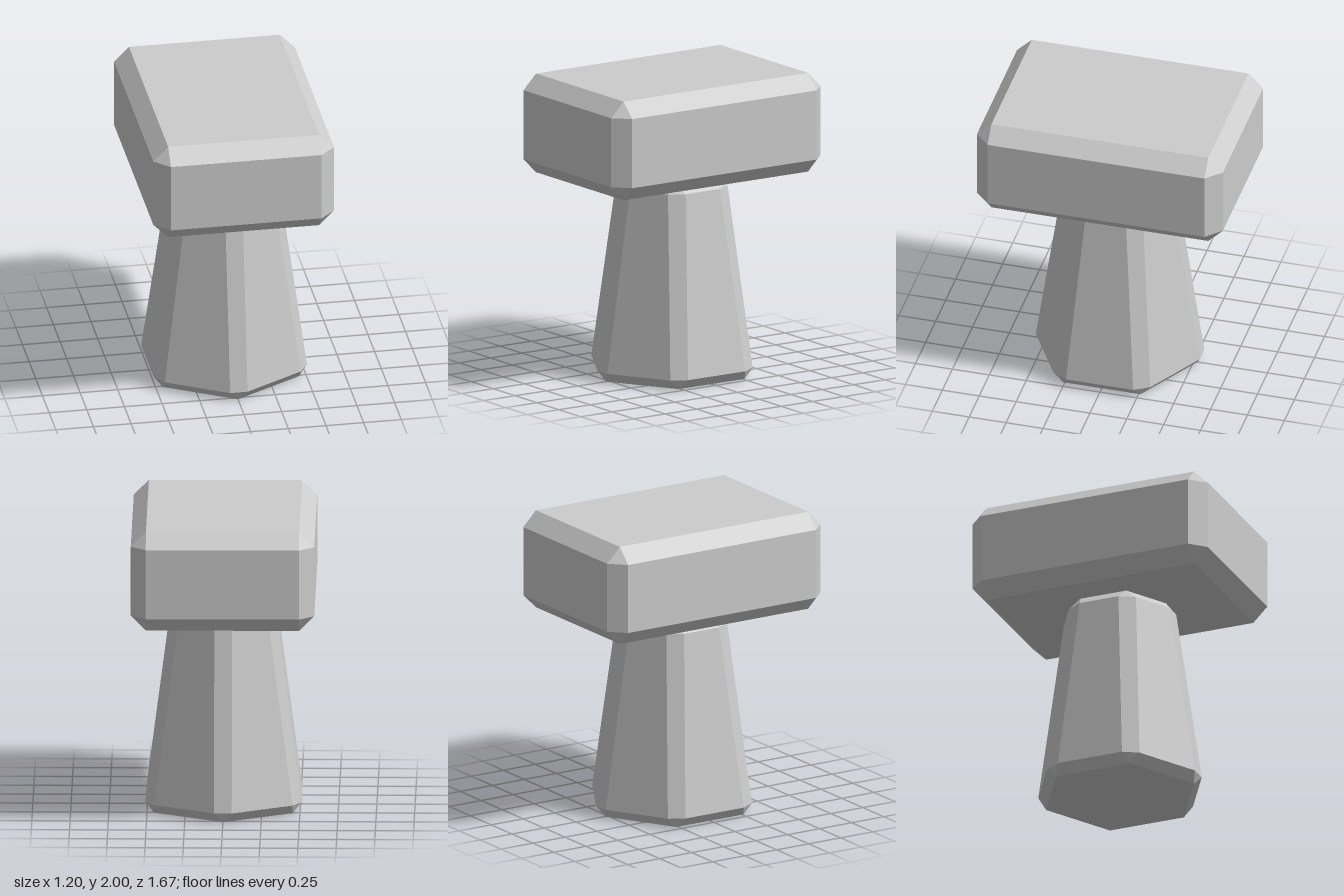
import * as THREE from 'three';
import { ConvexGeometry } from 'three/addons/geometries/ConvexGeometry.js';

// Box with flat chamfers on every edge and a triangle at each corner
function chamferedBox(hx, hy, hz, c) {
  const pts = [];
  for (const x of [-1, 1]) for (const y of [-1, 1]) for (const z of [-1, 1]) {
    pts.push(
      new THREE.Vector3(x * hx, y * (hy - c), z * (hz - c)),
      new THREE.Vector3(x * (hx - c), y * hy, z * (hz - c)),
      new THREE.Vector3(x * (hx - c), y * (hy - c), z * hz),
    );
  }
  return new ConvexGeometry(pts);
}

// Hexagon ring with corners on the z axis; cut is half the width of each clipped corner
function hexRing(radius, y, cut) {
  const pts = [];
  for (let i = 0; i < 6; i++) {
    const a = i * Math.PI / 3;
    const r = radius - cut * Math.tan(Math.PI / 6);
    for (const s of cut ? [-cut, cut] : [0]) {
      pts.push(new THREE.Vector3(
        r * Math.sin(a) + s * Math.cos(a), y, r * Math.cos(a) - s * Math.sin(a)));
    }
  }
  return pts;
}

export function createModel() {
  const model = new THREE.Group();
  const grey = new THREE.MeshStandardMaterial({ color: 0xcccccc, flatShading: true });
  grey.name = 'light grey';

  // Block on top
  const head = new THREE.Mesh(chamferedBox(0.6, 0.331, 0.834, 0.099), grey);
  head.name = 'head';
  head.position.y = 1.669;
  model.add(head);

  // Tapered six-sided post with chamfered edges
  const post = new THREE.Mesh(new ConvexGeometry([
    ...hexRing(0.524, 0, 0),
    ...hexRing(0.589, 0.066, 0.058),
    ...hexRing(0.408, 1.272, 0.058),
    ...hexRing(0.325, 1.339, 0),
  ]), grey);
  post.name = 'post';
  model.add(post);

  return model;
}
